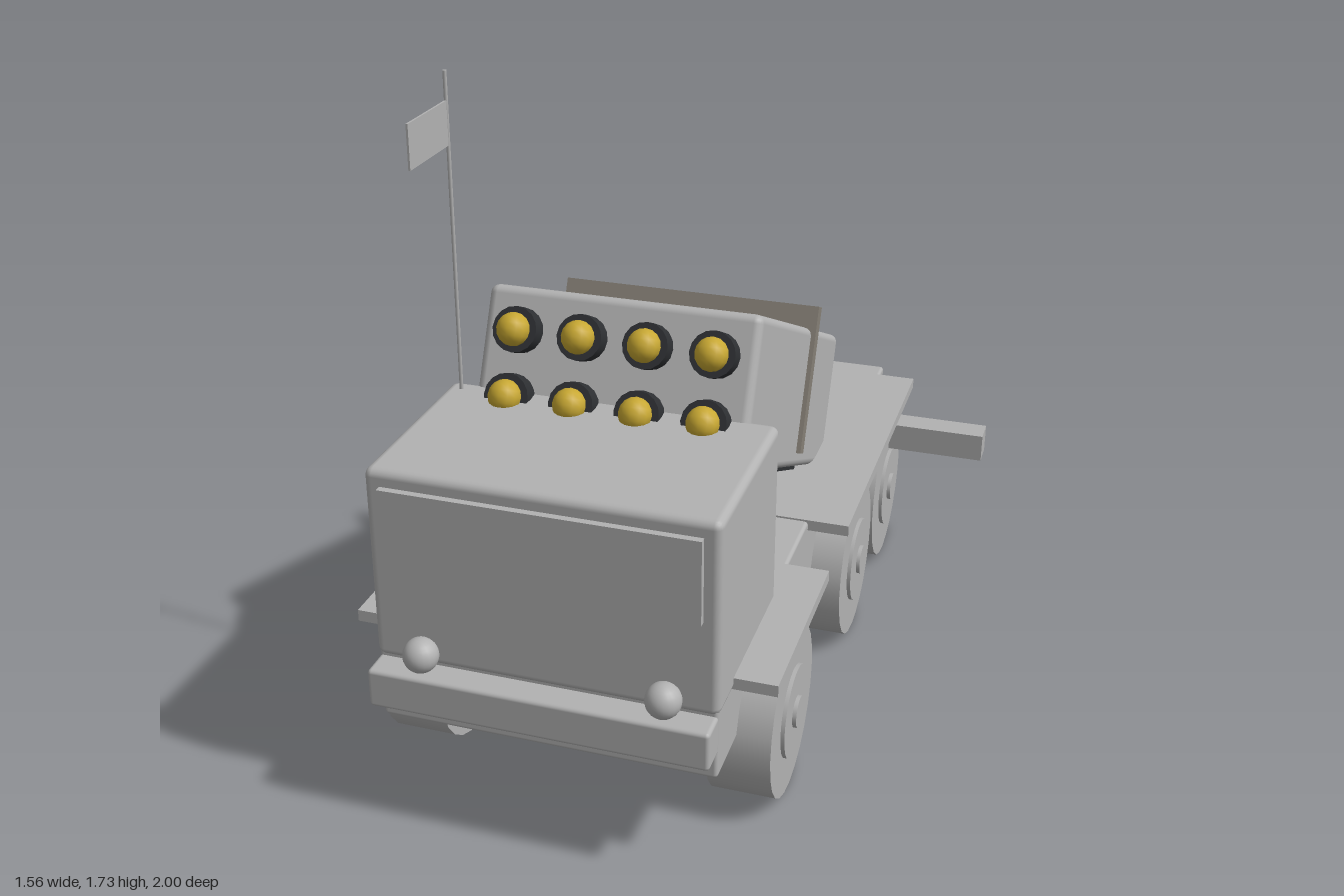
import * as THREE from 'three';
import { RoundedBoxGeometry } from 'three/addons/geometries/RoundedBoxGeometry.js';

const material = (name, color) => {
  const m = new THREE.MeshStandardMaterial({ color });
  m.name = name;
  return m;
};

export function createModel() {
  const grey = material('body grey', 0xb2b2b2);
  const strapGrey = material('strap taupe', 0x857f75);
  const dark = material('tube black', 0x2e3033);
  const yellow = material('warhead yellow', 0xc8a832);

  const root = new THREE.Group();
  root.name = 'rocketTruck';

  const add = (parent, name, geometry, mat, x, y, z) => {
    const mesh = new THREE.Mesh(geometry, mat);
    mesh.name = name;
    mesh.position.set(x, y, z);
    parent.add(mesh);
    return mesh;
  };
  // Box given by its extents on each axis
  const box = (parent, name, mat, [x0, x1], [y0, y1], [z0, z1], r = 0) => {
    const size = [x1 - x0, y1 - y0, z1 - z0];
    const geometry = r ? new RoundedBoxGeometry(...size, 2, r) : new THREE.BoxGeometry(...size);
    return add(parent, name, geometry, mat, (x0 + x1) / 2, (y0 + y1) / 2, (z0 + z1) / 2);
  };
  // Cylinder lying along x
  const axleCylinder = (parent, name, r, x0, x1) => {
    const geometry = new THREE.CylinderGeometry(r, r, x1 - x0, 24).rotateZ(Math.PI / 2);
    return add(parent, name, geometry, grey, (x0 + x1) / 2, 0, 0);
  };

  // Chassis, bumper and cab
  box(root, 'chassis', grey, [-0.415, 0.415], [0.26, 0.46], [-1, 0.93], 0.01);
  box(root, 'bumper', grey, [-0.415, 0.415], [0.33, 0.43], [0.92, 1], 0.01);
  box(root, 'cab', grey, [-0.42, 0.42], [0.43, 0.925], [0.435, 0.935], 0.02);
  box(root, 'windshield', grey, [-0.38, 0.38], [0.675, 0.885], [0.93, 0.952]);
  for (const side of [-1, 1]) {
    add(root, 'headlight', new THREE.SphereGeometry(0.043, 20, 14), grey, side * 0.295, 0.468, 0.955);
  }

  // Wheels, axles and fenders
  for (const z of [0.56, -0.2, -0.66]) {
    const axle = new THREE.Group();
    axle.name = 'wheelSet';
    axle.position.set(0, 0.215, z);
    root.add(axle);
    axleCylinder(axle, 'axle', 0.028, -0.36, 0.36);
    for (const side of [-1, 1]) {
      const span = (a, b) => (side > 0 ? [a, b] : [-b, -a]);
      axleCylinder(axle, 'tire', 0.215, ...span(0.34, 0.5));
      axleCylinder(axle, 'rim', 0.117, ...span(0.333, 0.51));
      axleCylinder(axle, 'hubCap', 0.04, ...span(0.4, 0.52));
      box(root, 'fender', grey, span(0.32, 0.525), [0.435, 0.465], [z - 0.262, z + 0.262]);
    }
  }

  // Stabiliser beam across the rear
  box(root, 'stabiliserBeam', grey, [-0.78, 0.78], [0.34, 0.42], [-0.747, -0.668]);

  // Turntable
  add(root, 'turntable', new THREE.CylinderGeometry(0.335, 0.335, 0.14, 24), grey, 0, 0.517, -0.41);

  // Tilted launcher, built along z
  const launcher = new THREE.Group();
  launcher.name = 'launcher';
  launcher.position.set(0, 0.777, -0.028);
  launcher.rotation.x = THREE.MathUtils.degToRad(-25);
  root.add(launcher);
  box(launcher, 'launcherBox', grey, [-0.35, 0.35], [-0.19, 0.19], [-0.5, 0.5], 0.022);
  box(launcher, 'underPlate', dark, [-0.31, 0.31], [-0.205, -0.18], [-0.3, 0.49]);
  box(launcher, 'strap', strapGrey, [-0.362, 0.362], [-0.15, 0.25], [-0.136, -0.096]);

  // Two rows of four rocket tubes
  const tubeGeometry = new THREE.CylinderGeometry(0.057, 0.057, 0.1, 16).rotateX(Math.PI / 2);
  const tipGeometry = new THREE.SphereGeometry(0.042, 12, 8);
  for (const y of [0.082, -0.082]) {
    for (let i = 0; i < 4; i++) {
      const x = (i - 1.5) * 0.167;
      add(launcher, 'rocketTube', tubeGeometry, dark, x, y, 0.5);
      add(launcher, 'rocketTip', tipGeometry, yellow, x, y, 0.557);
    }
  }

  // Antenna with flag
  add(root, 'antenna', new THREE.CylinderGeometry(0.005, 0.005, 0.825, 8), grey, -0.38, 1.3125, 0.477);
  box(root, 'flag', grey, [-0.3825, -0.3775], [1.548, 1.655], [0.477, 0.685]);

  return root;
}
